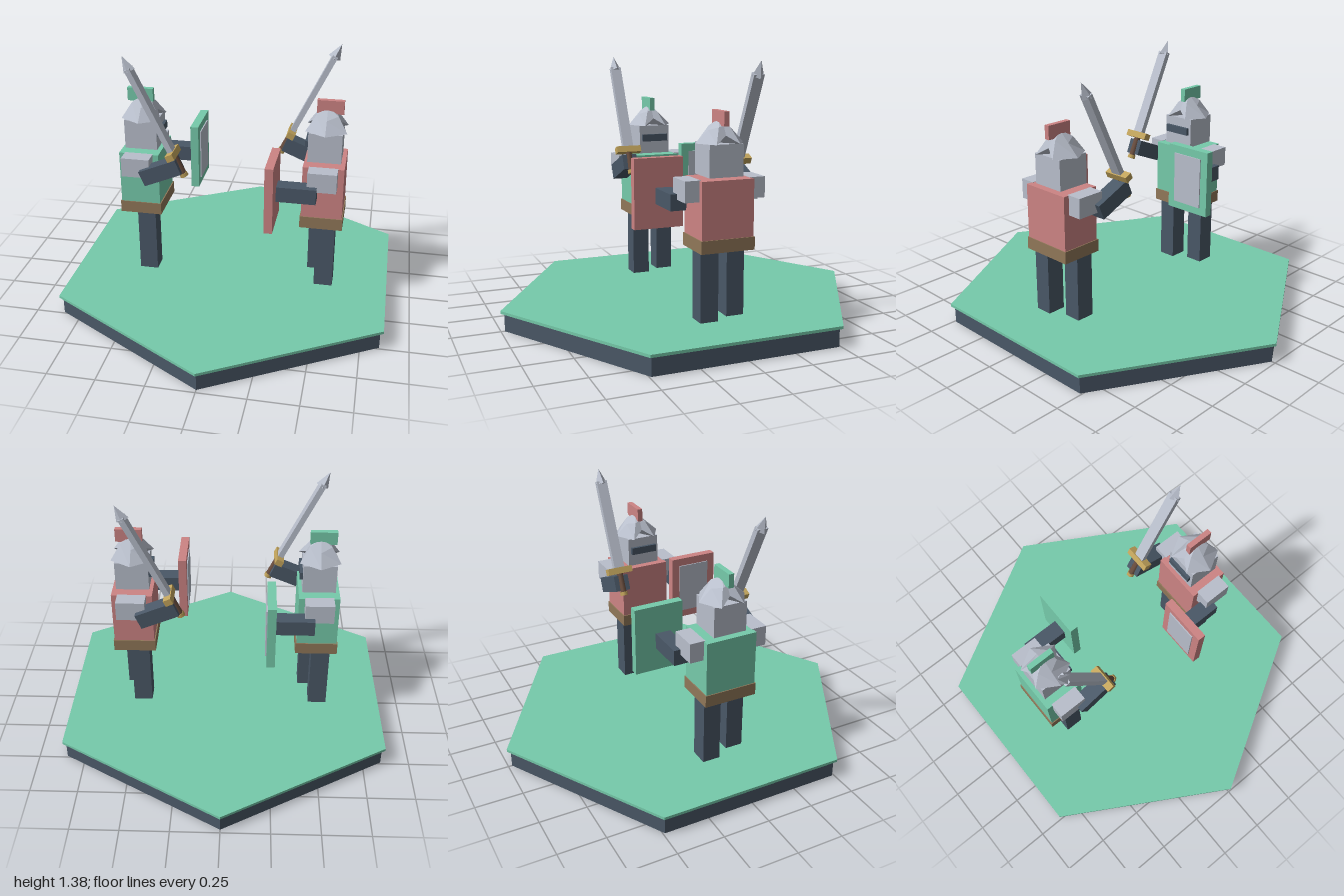
import * as THREE from 'three';

const paint = (name, color) => {
  const m = new THREE.MeshStandardMaterial({ color });
  m.name = name;
  return m;
};

// Faceted helmet: eave ring, shoulder ring and apex, with a notch on the two x sides
function helmetGeometry() {
  const eave = [[0, 0.99, 0.127], [0.108, 0.99, 0.063], [0.075, 1.03, 0], [0.108, 0.99, -0.063],
    [0, 0.99, -0.127], [-0.108, 0.99, -0.063], [-0.075, 1.03, 0], [-0.108, 0.99, 0.063]];
  const shoulder = [[0, 1.052, 0.06], [0.058, 1.07, 0.03], [0.05, 1.077, 0], [0.058, 1.07, -0.03],
    [0, 1.052, -0.06], [-0.058, 1.07, -0.03], [-0.05, 1.077, 0], [-0.058, 1.07, 0.03]];
  const apex = [0, 1.107, 0], base = [0, 0.985, 0], pos = [];
  for (let i = 0; i < 8; i++) {
    const j = (i + 1) % 8;
    pos.push(...apex, ...shoulder[i], ...shoulder[j]);
    pos.push(...shoulder[i], ...eave[i], ...eave[j], ...shoulder[i], ...eave[j], ...shoulder[j]);
    pos.push(...base, ...eave[j], ...eave[i]);
  }
  const g = new THREE.BufferGeometry();
  g.setAttribute('position', new THREE.Float32BufferAttribute(pos, 3));
  g.computeVertexNormals();
  return g;
}

export function createModel() {
  const green = paint('green', 0x76cbab);
  const red = paint('red', 0xcd8484);
  const slate = paint('slate', 0x4a5867);
  const steel = paint('steel', 0xb9bfcc);
  const leather = paint('leather', 0x917859);
  const gold = paint('gold', 0xc2a45c);
  const wood = paint('wood', 0x6b4f40);

  const add = (parent, name, geometry, material, x = 0, y = 0, z = 0) => {
    const m = new THREE.Mesh(geometry, material);
    m.name = name;
    m.position.set(x, y, z);
    parent.add(m);
    return m;
  };
  // Box given by its lower and upper limits on each axis
  const block = (parent, name, material, [x0, x1], [y0, y1], [z0, z1]) =>
    add(parent, name, new THREE.BoxGeometry(x1 - x0, y1 - y0, z1 - z0), material,
      (x0 + x1) / 2, (y0 + y1) / 2, (z0 + z1) / 2);

  function sword() {
    const s = new THREE.Group();
    s.name = 'sword';
    add(s, 'blade', new THREE.BoxGeometry(0.03, 0.5, 0.058), steel, 0, 0.25);
    const tip = new THREE.ConeGeometry(0.034, 0.085, 4);
    tip.deleteAttribute('normal');
    const flatTip = tip.toNonIndexed();
    flatTip.computeVertexNormals();
    add(s, 'bladeTip', flatTip, steel, 0, 0.528);
    add(s, 'guard', new THREE.BoxGeometry(0.042, 0.035, 0.14), gold);
    add(s, 'grip', new THREE.CylinderGeometry(0.018, 0.018, 0.12, 6), wood, 0, -0.07);
    add(s, 'pommel', new THREE.CylinderGeometry(0.022, 0.022, 0.02, 6), gold, 0, -0.13);
    return s;
  }

  // Knight on the -x side, facing +x
  function knight(name, team) {
    const k = new THREE.Group();
    k.name = name;
    block(k, 'rightLeg', slate, [-0.517, -0.417], [0.11, 0.47], [0.035, 0.13]);
    block(k, 'leftLeg', slate, [-0.57, -0.47], [0.11, 0.47], [-0.13, -0.035]);
    block(k, 'belt', leather, [-0.607, -0.38], [0.467, 0.532], [-0.143, 0.143]);
    block(k, 'torso', team, [-0.602, -0.386], [0.53, 0.82], [-0.138, 0.138]);
    for (const side of [-1, 1]) {
      const z = [0.13 * side, 0.213 * side].sort((a, b) => a - b);
      block(k, side > 0 ? 'rightShoulder' : 'leftShoulder', steel, [-0.57, -0.418], [0.717, 0.822], z);
    }

    // Head, visor, helmet and crest
    block(k, 'head', steel, [-0.58, -0.404], [0.83, 0.99], [-0.09, 0.09]);
    block(k, 'visor', slate, [-0.42, -0.388], [0.9, 0.94], [-0.075, 0.075]);
    add(k, 'helmet', helmetGeometry(), steel, -0.493);
    block(k, 'crest', team, [-0.577, -0.437], [1.075, 1.147], [-0.014, 0.014]);

    // Shield arm
    block(k, 'leftForearm', slate, [-0.47, -0.264], [0.662, 0.745], [-0.247, -0.164]);
    block(k, 'shield', team, [-0.264, -0.22], [0.535, 0.898], [-0.36, -0.095]);
    block(k, 'shieldPlate', steel, [-0.221, -0.214], [0.577, 0.855], [-0.316, -0.138]);

    // Raised sword arm
    const arm = add(k, 'rightForearm', new THREE.BoxGeometry(0.216, 0.085, 0.083), slate, -0.352, 0.766, 0.202);
    arm.rotation.z = 0.4;
    const s = sword();
    s.position.set(-0.287, 0.87, 0.202);
    s.rotation.z = 0.45;
    k.add(s);
    return k;
  }

  const model = new THREE.Group();
  model.name = 'duel';
  add(model, 'base', new THREE.CylinderGeometry(0.98, 0.98, 0.097, 6), slate, 0, 0.0485).material.flatShading = true;
  const turf = new THREE.CylinderGeometry(1, 1, 0.015, 6).toNonIndexed();
  turf.computeVertexNormals();
  add(model, 'turf', turf, green, 0, 0.1035);

  const rival = knight('redKnight', red);
  rival.rotation.y = Math.PI;
  model.add(knight('greenKnight', green), rival);
  return model;
}
